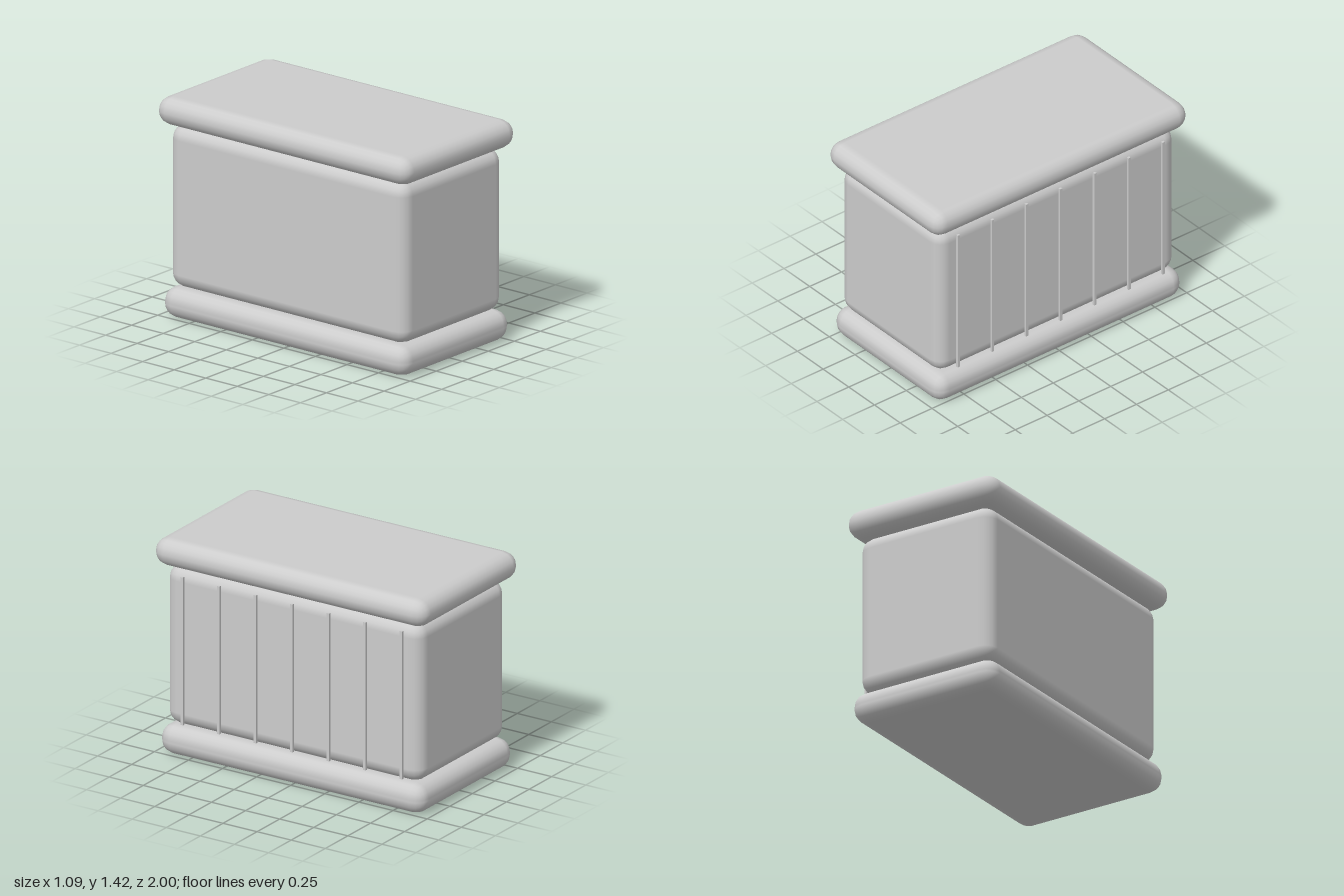
import * as THREE from 'three';
import { RoundedBoxGeometry } from 'three/addons/geometries/RoundedBoxGeometry.js';

export function createModel() {
  const model = new THREE.Group();
  model.name = 'counter';
  const grey = new THREE.MeshStandardMaterial({ color: 0xcccccc });
  grey.name = 'light grey';

  const add = (name, geometry, x, y, z) => {
    const mesh = new THREE.Mesh(geometry, grey);
    mesh.name = name;
    mesh.position.set(x, y, z);
    model.add(mesh);
  };

  // Softly rounded slabs: name, width, bottom, top, depth
  const slabs = [
    ['base', 1.048, 0, 0.195, 1.94],
    ['body', 0.974, 0.195, 1.24, 1.876],
    ['top', 1.094, 1.24, 1.42, 2],
  ];
  for (const [name, width, bottom, top, depth] of slabs) {
    const geometry = new RoundedBoxGeometry(width, top - bottom, depth, 2, 0.09);
    add(name, geometry, 0, (bottom + top) / 2, 0);
  }

  // Thin vertical ribs standing just off the left side
  const rib = new THREE.BoxGeometry(0.016, 0.973, 0.018);
  for (let i = 0; i < 7; i++) {
    add(`rib${i + 1}`, rib, 0.5, 0.709, 0.795 - i * 0.268);
  }
  return model;
}
